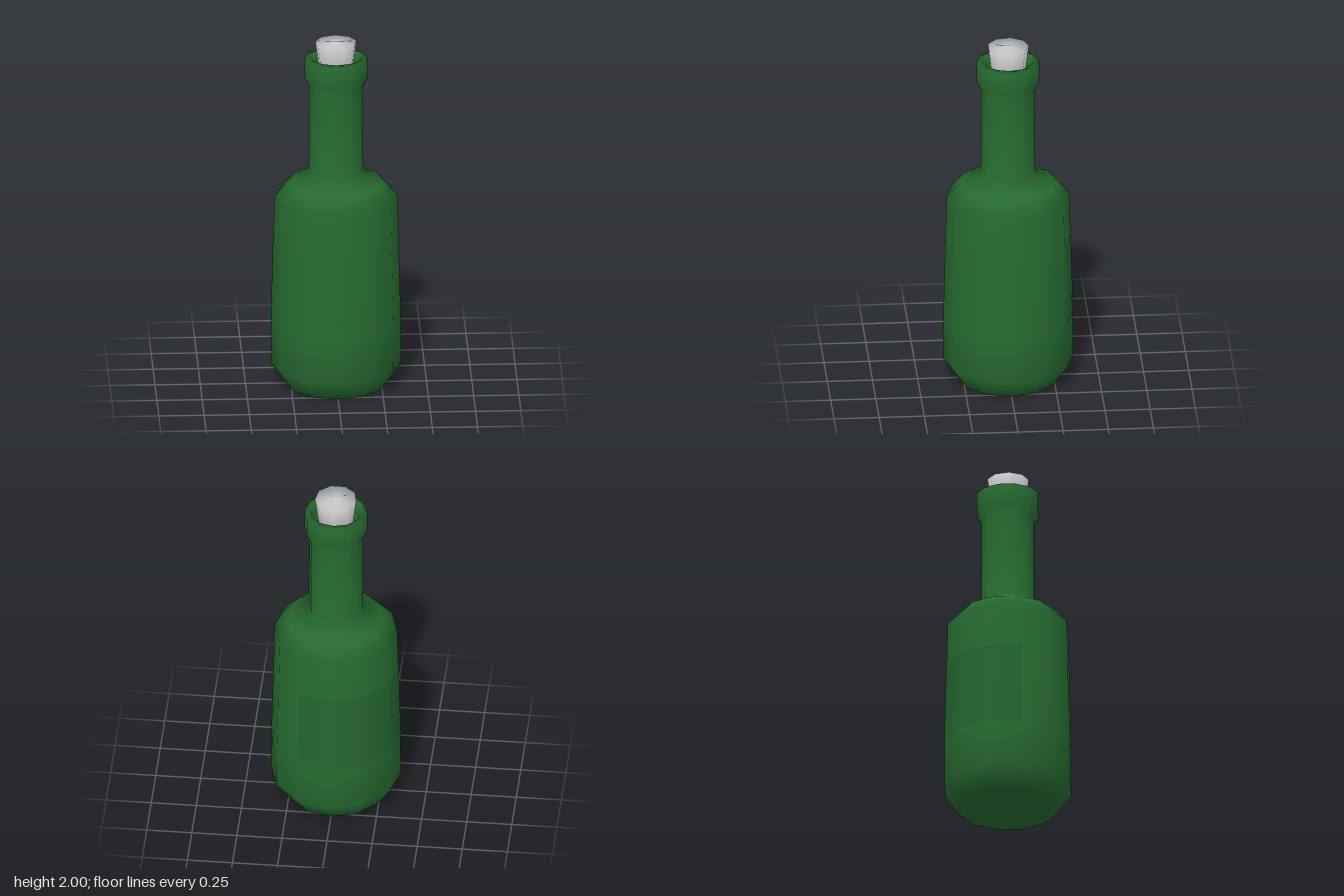
import * as THREE from 'three';

// Revolve a [radius, height] profile listed from bottom to top
function lathe(name, profile, sides, material, start = 0, sweep = Math.PI * 2) {
  const points = profile.map(([r, y]) => new THREE.Vector2(r, y));
  const mesh = new THREE.Mesh(new THREE.LatheGeometry(points, sides, start, sweep), material);
  mesh.name = name;
  return mesh;
}

export function createModel() {
  const group = new THREE.Group();
  group.name = 'corkedBottle';
  const glass = new THREE.MeshStandardMaterial({ color: 0x276b31 });
  const paper = new THREE.MeshStandardMaterial({ color: 0x256630, side: THREE.DoubleSide });
  const grey = new THREE.MeshStandardMaterial({ color: 0xcccccc });

  // Twelve-sided body, shoulder, neck and lip, closed inside the mouth
  group.add(lathe('bottle', [
    [0, 0], [0.275, 0], [0.36, 0.12], [0.358, 0.38], [0.34, 1.1],
    [0.265, 1.18], [0.15, 1.25], [0.15, 1.74], [0.175, 1.79],
    [0.175, 1.905], [0.145, 1.915], [0.125, 1.86], [0.11, 1.75], [0, 1.75],
  ], 12, glass));

  // Thin label following four facets of the body
  group.add(lathe('label', [[0.36, 0.38], [0.3485, 0.85]], 4, paper,
    Math.PI * 5 / 6, Math.PI * 2 / 3));

  // Nine-sided tapered stopper
  group.add(lathe('cork', [[0, 1.77], [0.088, 1.77], [0.116, 2], [0, 2]], 9, grey, Math.PI));

  return group;
}
